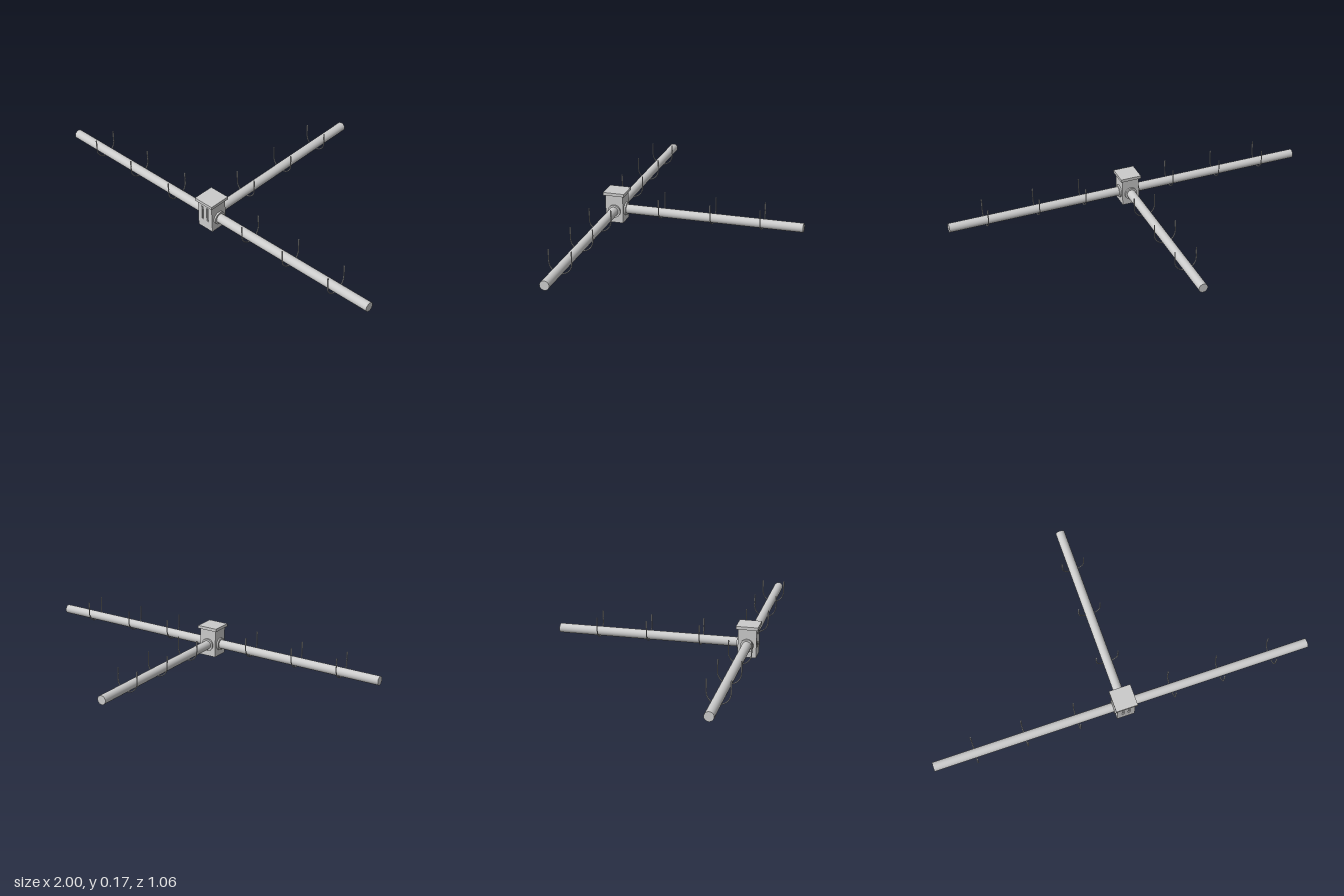
import * as THREE from 'three';

const HUB_Z = 0.471, PIPE_Y = 0.069, PIPE_R = 0.024;

export function createModel() {
  const model = new THREE.Group();
  const mat = new THREE.MeshStandardMaterial({ color: 0xcccccc });

  const add = (parent, name, geo, x = 0, y = 0, z = 0) => {
    const mesh = new THREE.Mesh(geo, mat);
    mesh.name = name;
    mesh.position.set(x, y, z);
    parent.add(mesh);
    return mesh;
  };

  // Junction box: core, slotted front plate, lid and foot
  const hub = new THREE.Group();
  hub.name = 'junctionBox';
  hub.position.z = HUB_Z;
  model.add(hub);
  add(hub, 'boxBody', new THREE.BoxGeometry(0.094, 0.15, 0.089), 0, 0.08, -0.0025);
  const plate = new THREE.Shape();
  plate.moveTo(-0.047, 0.005).lineTo(0.047, 0.005).lineTo(0.047, 0.155).lineTo(-0.047, 0.155).closePath();
  for (const x of [-0.016, 0.016]) {
    const slot = new THREE.Path();
    slot.moveTo(x - 0.005, 0.055).lineTo(x - 0.005, 0.135).lineTo(x + 0.005, 0.135).lineTo(x + 0.005, 0.055).closePath();
    plate.holes.push(slot);
  }
  add(hub, 'frontPlate', new THREE.ExtrudeGeometry(plate, { depth: 0.006, bevelEnabled: false }), 0, 0, 0.042);
  add(hub, 'lid', new THREE.BoxGeometry(0.114, 0.016, 0.114), 0, 0.162, 0);
  add(hub, 'foot', new THREE.BoxGeometry(0.066, 0.006, 0.066), 0, 0.003, 0);

  // Clamp: round wire bent into a U, with thicker upright ends
  const bend = new THREE.CurvePath();
  const R = 0.058, bendY = 0.03;
  const arc = [];
  for (let i = 0; i <= 16; i++) {
    const a = Math.PI + (Math.PI * i) / 16;
    arc.push(new THREE.Vector3(R * Math.cos(a), bendY + R * Math.sin(a), 0));
  }
  bend.add(new THREE.LineCurve3(new THREE.Vector3(-R, 0.088, 0), arc[0]));
  bend.add(new THREE.CatmullRomCurve3(arc));
  bend.add(new THREE.LineCurve3(arc[16], new THREE.Vector3(R, 0.088, 0)));
  const wireGeo = new THREE.TubeGeometry(bend, 40, 0.0028, 8);
  const endGeo = new THREE.CylinderGeometry(0.0035, 0.0035, 0.036, 8);

  // Arm along local +z: pipe, collar and three U-shaped clamps
  const makeArm = (name, length, clamps, angle) => {
    const arm = new THREE.Group();
    arm.name = name;
    arm.position.set(0, PIPE_Y, HUB_Z);
    arm.rotation.y = angle;
    const start = 0.035;
    const pipe = new THREE.CylinderGeometry(PIPE_R, PIPE_R, length - start, 32).rotateX(Math.PI / 2);
    add(arm, 'pipe', pipe, 0, 0, (length + start) / 2);
    add(arm, 'collar', new THREE.CylinderGeometry(0.034, 0.034, 0.012, 32).rotateX(Math.PI / 2), 0, 0, 0.05);
    for (const z of clamps) {
      const clamp = new THREE.Group();
      clamp.name = 'clamp';
      clamp.position.z = z;
      add(clamp, 'clampWire', wireGeo);
      for (const s of [-1, 1]) add(clamp, 'clampEnd', endGeo, s * R, 0.073, 0);
      arm.add(clamp);
    }
    model.add(arm);
  };
  makeArm('leftArm', 1, [0.26, 0.52, 0.8], Math.PI / 2);
  makeArm('rightArm', 1, [0.245, 0.52, 0.782], -Math.PI / 2);
  makeArm('rearArm', 0.999, [0.245, 0.521, 0.784], Math.PI);

  return model;
}
